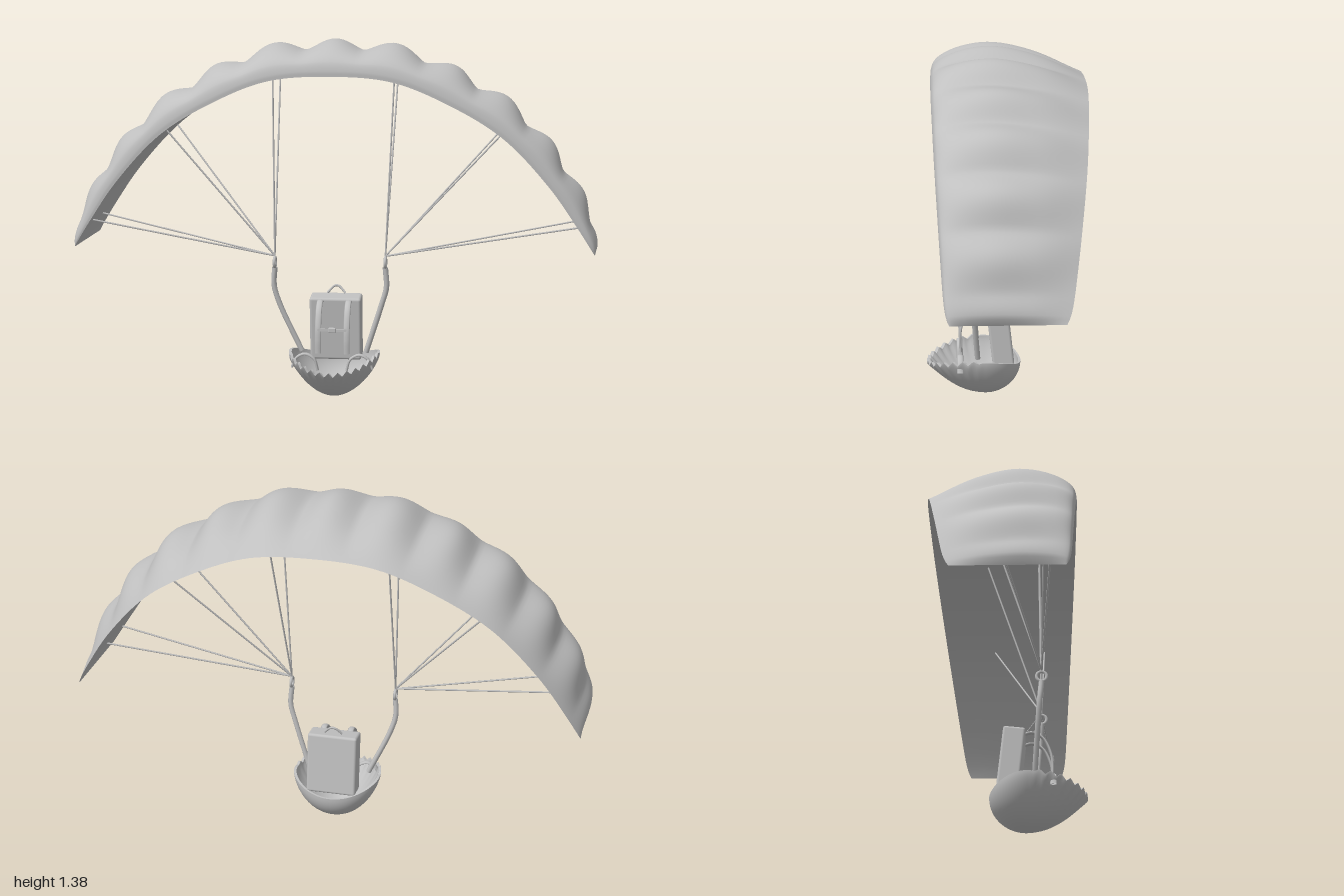
import * as THREE from 'three';
import { ParametricGeometry } from 'three/addons/geometries/ParametricGeometry.js';
import { RoundedBoxGeometry } from 'three/addons/geometries/RoundedBoxGeometry.js';

const V = (x, y, z = 0) => new THREE.Vector3(x, y, z);
const spline = (pts) => new THREE.CatmullRomCurve3(pts.map((p) => V(...p)), false, 'centripetal');

export function createModel() {
  const model = new THREE.Group();
  const grey = new THREE.MeshStandardMaterial({ color: 0xc0c0c0, side: THREE.DoubleSide });
  grey.name = 'plainGrey';

  function add(name, geometry, parent = model) {
    const mesh = new THREE.Mesh(geometry, grey);
    mesh.name = name;
    parent.add(mesh);
    return mesh;
  }
  const tube = (name, pts, r, parent, seg = 24) =>
    add(name, new THREE.TubeGeometry(spline(pts), seg, r, 8), parent);
  function rod(name, a, b, r) {
    const d = b.clone().sub(a);
    const mesh = add(name, new THREE.CylinderGeometry(r, r, d.length(), 6));
    mesh.position.copy(a).addScaledVector(d, 0.5);
    mesh.quaternion.setFromUnitVectors(V(0, 1, 0), d.normalize());
  }
  function sheet(name, fn, nu, nv) {
    const g = new ParametricGeometry(fn, nu, nv);
    g.computeVertexNormals();
    return add(name, g);
  }

  // Canopy: an arched wing with eleven puffed cells above a smooth underside
  const half = [[0.23, 1.233], [0.43, 1.155], [0.635, 1.032], [0.81, 0.85], [0.92, 0.694], [0.985, 0.592]];
  const arc = spline([...half.map(([x, y]) => [-x, y]).reverse(), [0, 1.252], ...half]);
  arc.arcLengthDivisions = 600;
  const halfLength = arc.getLength() / 2;
  const foil = spline([[0, 0], [0, 0.02], [0.02, 0.055], [0.13, 0.1], [0.38, 0.13], [0.68, 0.097], [1, 0.015]]);

  function canopyPoint(span, chord, height, target) {
    const f = Math.abs(span * 2 - 1);
    const p = arc.getPointAt(span);
    const t = arc.getTangentAt(span);
    const up = (p.y - 0.6) / 0.66;
    const front = 0.235 + 0.045 * up;
    const back = -0.19 - 0.115 * up;
    const z = 0.02 + (front + (back - front) * chord - 0.02) * (1 - 0.07 * f ** 40);
    const taper = (1 - 0.5 * f ** 3) * Math.sqrt(Math.max(0, 1 - f ** 14));
    const cell = Math.abs(Math.cos(Math.PI * f * halfLength / 0.21)) ** 1.4;
    const puff = 1 - 0.32 * (1 - cell) * Math.sqrt(Math.max(0, Math.sin(Math.PI * chord)));
    const h = height * taper * puff;
    target.set(p.x - t.y * h, p.y + t.x * h, z);
  }
  sheet('canopyTop', (u, v, target) => {
    const q = foil.getPoint(v);
    canopyPoint(u, q.x, q.y, target);
  }, 176, 36);
  sheet('canopyUnderside', (u, v, target) => {
    const p = V(0, 0);
    canopyPoint(u, 1 - v, 0, p);
    const f = Math.abs(u * 2 - 1);
    const t = arc.getTangentAt(u);
    const h = 0.015 * (1 - v) * (1 - 0.5 * f ** 3) * Math.sqrt(Math.max(0, 1 - f ** 14));
    target.set(p.x - t.y * h, p.y + t.x * h, p.z);
  }, 96, 6);

  // Suspension lines, rings and risers on both sides
  const anchors = [[0.23, 1.235, 0.13, -0.08], [0.635, 1.035, 0.15, -0.06], [0.93, 0.69, 0.17, 0]];
  for (const [side, ringX, joinY] of [[1, 0.2, 0.562], [-1, 0.225, 0.556]]) {
    const join = V(side * ringX, joinY, 0.135);
    for (const [x, y, z1, z2] of anchors)
      for (const z of [z1, z2]) rod('suspensionLine', join, V(side * x, y, z), 0.0035);
    const ring = add('riserRing', new THREE.TorusGeometry(0.019, 0.006, 8, 20));
    ring.position.set(side * ringX, joinY - 0.025, 0.135);
    ring.rotation.y = Math.PI / 2;
    tube('riser', [
      [side * ringX, joinY - 0.045, 0.135], [side * (ringX + 0.004), 0.44, 0.128],
      [side * (ringX - 0.015), 0.37, 0.122], [side * 0.125, 0.18, 0.107],
    ], 0.0105);
  }

  // Eggshell basket: rounded bowl with a jagged front rim, an inner wall and a lip
  function bowlPoint(a, h, scale, target) {
    const s = Math.sin(a);
    const c = -Math.cos(a);
    const reach = c > 0 ? 0.225 : 0.145;
    const front = (c + 1) / 2;
    const tooth = Math.abs(((a / (Math.PI * 2)) * 32) % 1 - 0.5) * 2 - 0.5;
    const jag = Math.min(1, Math.max(0, c * 4)) * 0.018 * tooth;
    const rim = 0.13 + 0.045 * s * s + jag * h ** 8;
    const rise = (1 - front) * (1 - Math.sqrt(Math.max(0, 1 - h * h))) + front * h * h;
    target.set(0.177 * s * h * scale, 0.002 + rim * rise + (1 - scale) * 0.15 * (1 - h), 0.08 + reach * c * h * scale);
  }
  const turn = Math.PI * 2;
  sheet('basketOutside', (u, v, t) => bowlPoint(u * turn, Math.sin(v * Math.PI / 2), 1, t), 128, 20);
  sheet('basketInside', (u, v, t) => bowlPoint(u * turn, Math.cos(v * Math.PI / 2), 0.94, t), 128, 20);
  sheet('basketLip', (u, v, t) => bowlPoint(u * turn, 1, 1 - 0.06 * v, t), 128, 1);

  // Backpack leaning slightly forward, with a carrying handle
  const pack = add('backpack', new RoundedBoxGeometry(0.2, 0.25, 0.085, 3, 0.01));
  pack.position.set(0, 0.26, 0.018);
  pack.rotation.x = 0.11;
  tube('packHandle', [[-0.035, 0.392, 0.017], [-0.008, 0.418, 0.006], [0.008, 0.418, 0.006], [0.035, 0.392, 0.017]], 0.0045);

  // Flat shoulder straps and leg loops
  for (const side of [1, -1]) {
    const strap = tube('shoulderStrap', [
      [0, 0.365, 0.06], [0, 0.374, 0.1], [0, 0.35, 0.14], [0, 0.29, 0.168], [0, 0.24, 0.174], [0, 0.185, 0.172],
    ], 0.005);
    strap.scale.x = 2.5;
    strap.position.x = side * 0.055;
    const loop = tube('legLoop', [
      [side * 0.155, 0.13, 0], [side * 0.14, 0.165, 0], [side * 0.105, 0.183, 0], [side * 0.07, 0.165, 0], [side * 0.055, 0.12, 0],
    ], 0.005);
    loop.scale.z = 2.5;
    loop.position.z = 0.175;
  }

  // Chest strap and buckle
  const chest = add('chestStrap', new THREE.BoxGeometry(0.11, 0.01, 0.005));
  chest.position.set(0, 0.277, 0.174);
  const buckle = add('chestBuckle', new RoundedBoxGeometry(0.03, 0.02, 0.012, 2, 0.004));
  buckle.position.set(0, 0.277, 0.175);

  return model;
}
